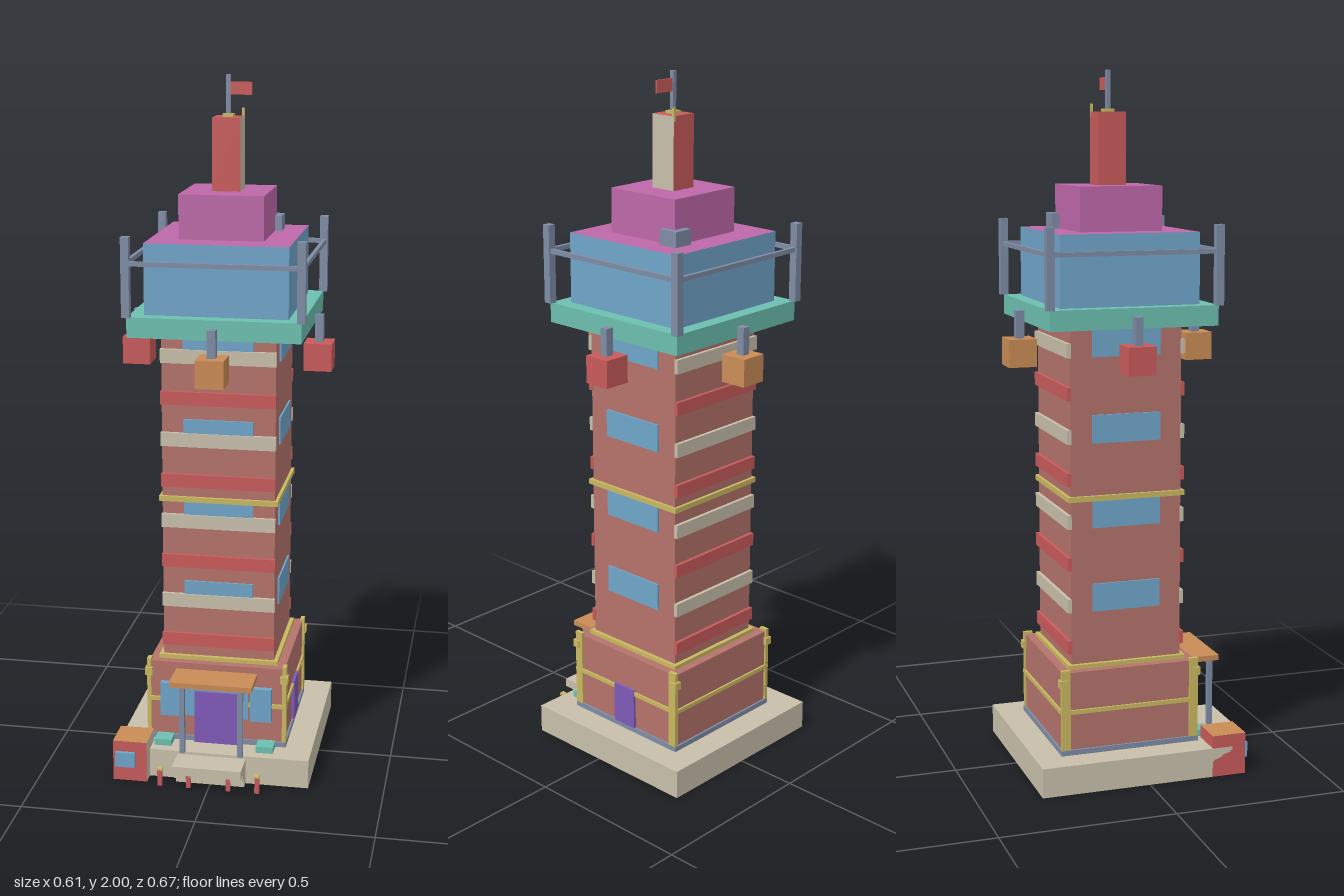
import * as THREE from 'three';

const mat = (name, color) => {
  const m = new THREE.MeshStandardMaterial({ color });
  m.name = name;
  return m;
};

export function createModel() {
  const brick = mat('brick', 0xb4736b), red = mat('red', 0xc85a5a), stone = mat('stone', 0xc8bfab);
  const blue = mat('glassBlue', 0x6fa5c9), teal = mat('teal', 0x6cbfb0), magenta = mat('magenta', 0xbd68a8);
  const violet = mat('violet', 0x7f5ab8), yellow = mat('yellow', 0xc9b860), orange = mat('orange', 0xc98b55);
  const steel = mat('steel', 0x7f8ca5);
  const model = new THREE.Group();
  model.name = 'tower';
  const ZC = -0.033; // tower axis

  // Box given by its extents; m may be one material or six
  const box = (name, m, x0, x1, y0, y1, z0, z1) => {
    const mesh = new THREE.Mesh(new THREE.BoxGeometry(x1 - x0, y1 - y0, z1 - z0), m);
    mesh.position.set((x0 + x1) / 2, (y0 + y1) / 2, (z0 + z1) / 2);
    mesh.name = name;
    model.add(mesh);
    return mesh;
  };
  // Square block centred on the tower axis
  const block = (name, m, half, y0, y1) => box(name, m, -half, half, y0, y1, ZC - half, ZC + half);
  // Box given by its centre and footprint
  const post = (name, m, x, z, w, d, y0, y1) => box(name, m, x - w / 2, x + w / 2, y0, y1, z - d / 2, z + d / 2);
  // Four bars forming a square frame around the axis
  const ring = (name, m, half, t, y0, y1) => {
    for (const s of [-1, 1]) {
      post(name, m, 0, ZC + s * (half - t / 2), 2 * half, t, y0, y1);
      post(name, m, s * (half - t / 2), ZC, t, 2 * half - 2 * t, y0, y1);
    }
  };

  // Ground slab and front steps
  box('groundSlab', stone, -0.283, 0.283, 0, 0.085, -0.317, 0.25);
  box('step', stone, -0.1, 0.1, 0, 0.025, 0.25, 0.275);
  box('step', stone, -0.1, 0.1, 0.025, 0.05, 0.25, 0.302);
  box('step', stone, -0.1, 0.1, 0.05, 0.076, 0.25, 0.333);
  for (const x of [-0.142, -0.058, 0.058, 0.142]) {
    post('bollard', red, x, 0.302, 0.013, 0.013, 0, 0.048);
    post('bollardCap', yellow, x, 0.302, 0.015, 0.015, 0.048, 0.054);
  }

  // Ground storey with trim
  block('plinth', steel, 0.206, 0.085, 0.1);
  block('groundStorey', brick, 0.2, 0.1, 0.327);
  ring('waistTrim', yellow, 0.206, 0.01, 0.205, 0.217);
  block('topTrim', yellow, 0.175, 0.327, 0.339);
  for (const sx of [-1, 1]) for (const sz of [-1, 1]) {
    post('cornerPipe', yellow, sx * 0.2, ZC + sz * 0.192, 0.012, 0.026, 0.1, 0.335);
    post('pipeCollar', yellow, sx * 0.2, ZC + sz * 0.2, 0.022, 0.022, 0.285, 0.308);
  }

  // Entrance, porch and side door
  box('frontDoor', violet, -0.063, 0.063, 0.085, 0.245, 0.167, 0.183);
  box('doorGlazing', blue, -0.095, 0.095, 0.165, 0.265, 0.167, 0.175);
  box('doorLintel', magenta, -0.1, 0.1, 0.265, 0.29, 0.167, 0.182);
  box('porchRoof', orange, -0.12, 0.12, 0.292, 0.308, 0.165, 0.27);
  box('sideDoor', violet, 0.2, 0.208, 0.1, 0.222, -0.073, 0.007);
  for (const s of [-1, 1]) {
    post('porchPost', steel, s * 0.085, 0.254, 0.015, 0.015, 0.085, 0.292);
    post('frontWindow', blue, s * 0.133, 0.176, 0.062, 0.018, 0.165, 0.267);
    post('planter', teal, s * 0.15, 0.196, 0.05, 0.05, 0.085, 0.104);
  }

  // Kiosk beside the steps
  box('kiosk', [stone, red, orange, red, red, red], -0.283, -0.183, 0, 0.122, 0.19, 0.29);
  box('kioskWindow', blue, -0.275, -0.217, 0.045, 0.09, 0.29, 0.3);

  // Shaft with bands and windows on each floor
  block('shaft', brick, 0.163, 0.327, 1.3);
  ring('middleTrim', yellow, 0.172, 0.012, 0.81, 0.825);
  for (let i = 0; i < 4; i++) {
    const y = 0.37 + i * 0.242;
    for (const s of [-1, 1]) {
      post('redBand', red, 0, ZC + s * 0.167, 0.33, 0.012, y, y + 0.038);
      post('stoneBand', stone, 0, ZC + s * 0.167, 0.33, 0.012, y + 0.12, y + 0.16);
      post('sideWindow', blue, s * 0.164, ZC, 0.008, 0.2, y + 0.12, y + 0.2);
    }
    post('shaftWindow', blue, 0, ZC + 0.165, 0.2, 0.008, y + 0.12, y + 0.2);
  }

  // Lookout platform, cabin and railing
  block('platform', teal, 0.243, 1.3, 1.357);
  block('cabin', [blue, blue, magenta, blue, blue, blue], 0.202, 1.357, 1.557);
  ring('handrail', steel, 0.25, 0.011, 1.5, 1.513);
  for (const sx of [-1, 1]) for (const sz of [-1, 1])
    post('railPost', steel, sx * 0.243, ZC + sz * 0.243, 0.023, 0.023, 1.357, 1.58);

  // Hanging lanterns on the four sides
  for (const [x, z, m] of [[0.263, 0, red], [-0.263, 0, red], [0, 0.263, orange], [0, -0.263, orange]]) {
    post('lantern', m, x, ZC + z, 0.08, 0.08, 1.178, 1.257);
    post('lanternHanger', steel, x, ZC + z, 0.024, 0.024, 1.257, 1.335);
  }

  // Roof, chimney and flag
  block('upperRoof', magenta, 0.12, 1.557, 1.682);
  box('roofVent', steel, 0.08, 0.14, 1.557, 1.6, -0.175, -0.115);
  block('chimney', [stone, red, red, red, red, red], 0.04, 1.682, 1.885);
  block('mastFoot', yellow, 0.015, 1.885, 1.893);
  block('mast', steel, 0.006, 1.893, 2);
  box('flag', red, 0.006, 0.066, 1.945, 1.98, ZC - 0.003, ZC + 0.003);
  post('antenna', yellow, 0.036, -0.07, 0.007, 0.007, 1.87, 1.907);

  return model;
}
